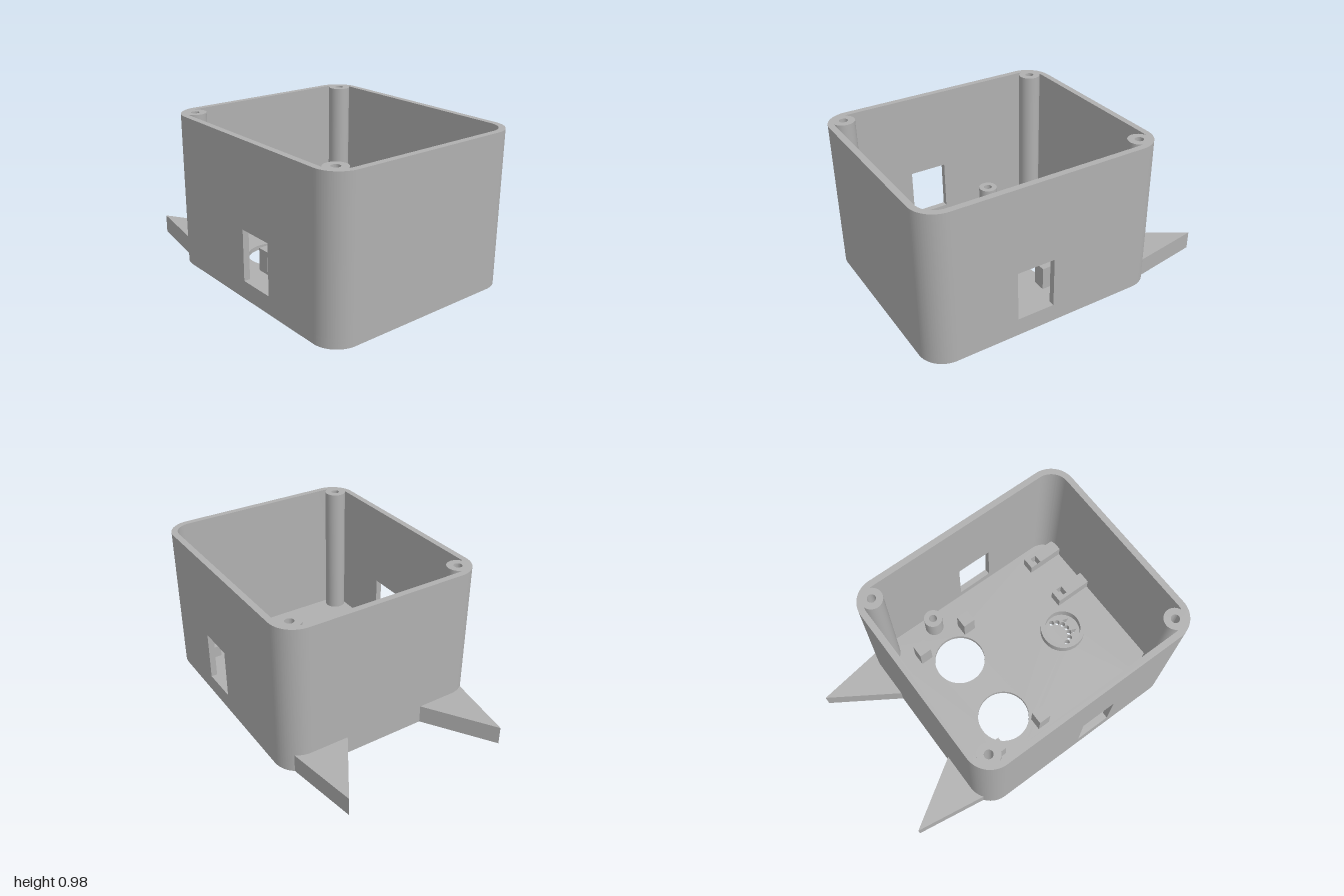
import * as THREE from 'three';
import { toCreasedNormals } from 'three/addons/utils/BufferGeometryUtils.js';

const TAU = Math.PI * 2;
const HEIGHT = 0.98, FLOOR = 0.06, RECESS = 0.03;
const HALF = 0.685, WALL = 0.04, BACK = -0.57, FRONT = 1.0, R = 0.16;

const polygon = (pts, Type = THREE.Shape) => new Type(pts.map(([x, z]) => new THREE.Vector2(x, z)));
const disc = (x, z, r, Type = THREE.Shape) => {
  const c = new Type();
  c.absarc(x, z, r, 0, TAU, false);
  return c;
};
const rect = (x0, x1, z0, z1, Type) => polygon([[x0, z0], [x1, z0], [x1, z1], [x0, z1]], Type);

export function createModel() {
  const group = new THREE.Group();
  const gray = new THREE.MeshStandardMaterial({ color: 0xb0b0b0 });
  gray.name = 'gray plastic';

  const extrude = (shape, depth) =>
    toCreasedNormals(new THREE.ExtrudeGeometry(shape, { depth, bevelEnabled: false, curveSegments: 20 }), 0.6);
  const add = (name, geometry) => {
    const mesh = new THREE.Mesh(geometry, gray);
    mesh.name = name;
    group.add(mesh);
    return mesh;
  };
  // Plan shape (x, z) raised from y0 to y1
  const slab = (name, shape, y0, y1) =>
    add(name, extrude(shape, y1 - y0).rotateX(Math.PI / 2).translate(0, y1, 0));
  const tube = (name, x, z, r, hole, y0, y1) => {
    const s = disc(x, z, r);
    s.holes.push(disc(x, z, hole, THREE.Path));
    return slab(name, s, y0, y1);
  };

  // Floor in two layers: wide eye recesses below, eye openings above
  const cx = HALF - R;
  const floorLayer = (name, eyeRadius, y0, y1) => {
    const s = new THREE.Shape();
    s.absarc(cx, FRONT - R, R, 0, TAU / 4);
    s.absarc(-cx, FRONT - R, R, TAU / 4, TAU / 2);
    s.absarc(-cx, BACK + R, R, TAU / 2, TAU * 0.75);
    s.absarc(cx, BACK + R, R, TAU * 0.75, TAU);
    s.closePath();
    for (const side of [-1, 1]) {
      s.holes.push(disc(side * 0.253, -0.1, eyeRadius, THREE.Path));
      // Mouth perforations and fang
      for (const [x, z] of [[0.09, 0.58], [0.07, 0.615], [0.037, 0.637]])
        s.holes.push(disc(side * x, z, 0.018, THREE.Path));
      s.holes.push(polygon([[side * 0.033, 0.658], [side * 0.063, 0.658], [side * 0.048, 0.697]], THREE.Path));
    }
    s.holes.push(disc(0, 0.645, 0.018, THREE.Path));
    slab(name, s, y0, y1);
  };
  floorLayer('floorOuterLayer', 0.235, 0, RECESS);
  floorLayer('floorInnerLayer', 0.173, RECESS, FLOOR);

  // Front and back walls with their rounded corners
  const cap = new THREE.Shape();
  cap.absarc(cx, 0, R, 0, TAU / 4);
  cap.absarc(-cx, 0, R, TAU / 4, TAU / 2);
  cap.absarc(-cx, 0, R - WALL, TAU / 2, TAU / 4, true);
  cap.absarc(cx, 0, R - WALL, TAU / 4, 0, true);
  cap.closePath();
  slab('frontWall', cap, FLOOR, HEIGHT).position.z = FRONT - R;
  const backWall = slab('backWall', cap, FLOOR, HEIGHT);
  backWall.rotation.y = Math.PI;
  backWall.position.z = BACK + R;

  // Side walls with a rectangular port
  const side = rect(BACK + R, FRONT - R, FLOOR, HEIGHT);
  side.holes.push(rect(0.195, 0.44, 0.115, 0.44, THREE.Path));
  for (const [name, x] of [['leftWall', HALF], ['rightWall', WALL - HALF]])
    add(name, extrude(side, WALL).rotateY(-Math.PI / 2).translate(x, 0, 0));

  // Screw columns in three corners
  for (const [x, z] of [[-0.58, -0.46], [0.58, -0.46], [-0.58, 0.89]])
    tube('cornerScrewColumn', x, z, 0.07, 0.027, FLOOR, HEIGHT);

  for (const s of [-1, 1]) {
    // Standoffs and square posts around the eyes
    tube('eyeStandoff', s * 0.56, -0.1, 0.063, 0.027, FLOOR, 0.21);
    for (const z of [-0.285, 0.08])
      slab('eyePost', rect(s * 0.425 - 0.043, s * 0.425 + 0.043, z - 0.043, z + 0.043), FLOOR, 0.21);

    // Ears with a triangular recess underneath
    const pts = [[s * 0.55, -1.0], [s * 0.622, -0.535], [s * 0.27, -0.565]];
    const mx = s * 0.485, mz = -0.71;
    const ear = polygon(pts);
    ear.holes.push(polygon(pts.map(([x, z]) => [mx + (x - mx) * 0.6, mz + (z - mz) * 0.6]), THREE.Path));
    slab('earRim', ear, 0, RECESS);
    slab('ear', polygon(pts), RECESS, 0.12);
  }

  // Ring around the mouth
  tube('mouthRing', 0, 0.605, 0.153, 0.123, FLOOR, 0.12);

  // Pair of slotted brackets against the front wall
  for (const s of [-1, 1]) {
    const x = 0.37 + s * 0.162;
    const bracket = rect(x - 0.043, x + 0.043, 0.705, 0.96);
    const inner = x - s * 0.012;
    bracket.holes.push(rect(inner - 0.03, inner + 0.03, 0.742, 0.785, THREE.Path));
    slab('slottedBracket', bracket, FLOOR, 0.14);
  }

  return group;
}
